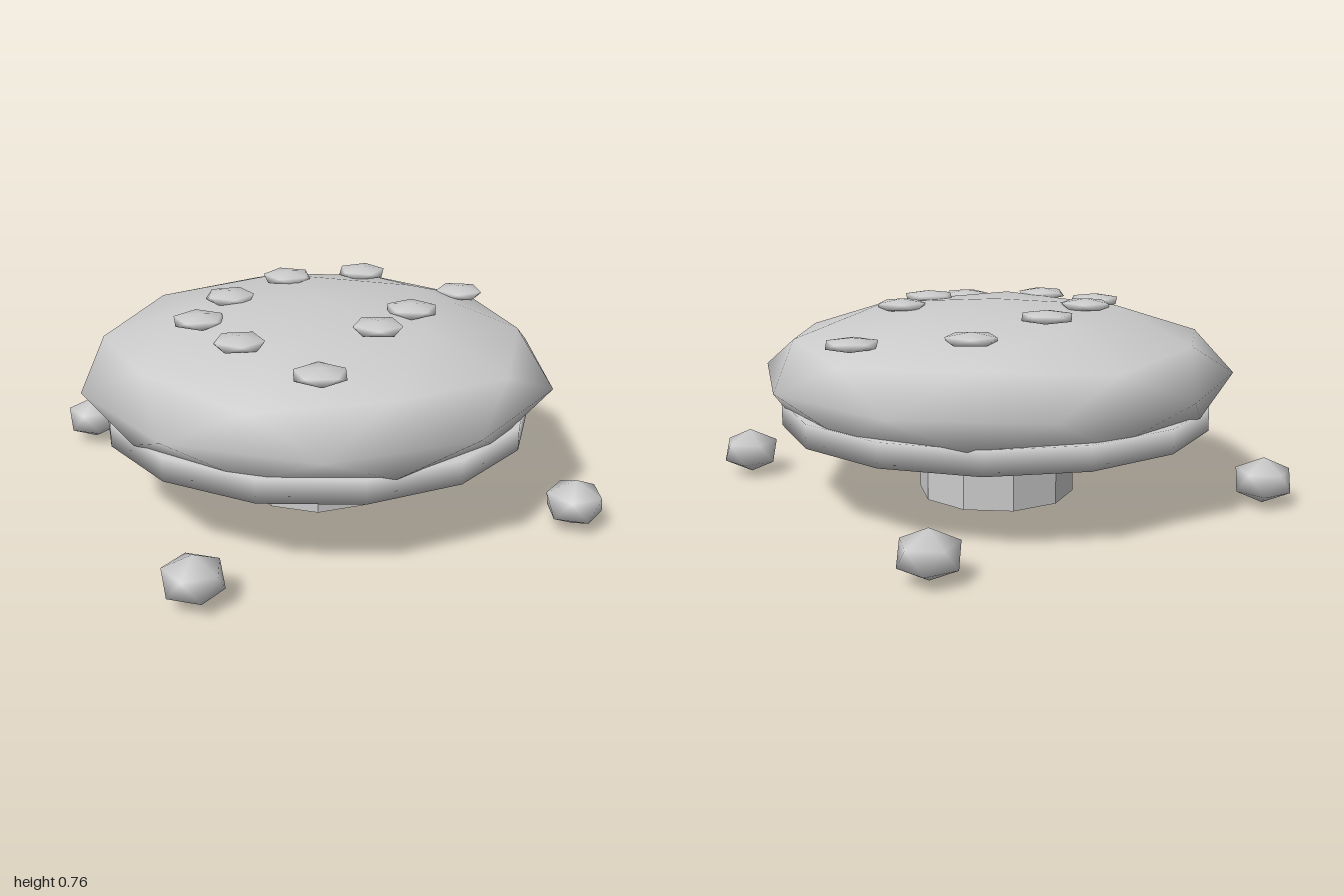
import * as THREE from 'three';
import { mergeVertices } from 'three/addons/utils/BufferGeometryUtils.js';

const material = new THREE.MeshStandardMaterial({ color: 0xcccccc });
const flatMaterial = new THREE.MeshStandardMaterial({ color: 0xcccccc, flatShading: true });

// Weld the corners so the normals run smoothly over every edge
function smooth(geometry) {
  geometry.deleteAttribute('normal');
  geometry.deleteAttribute('uv');
  const welded = mergeVertices(geometry, 1e-4);
  welded.computeVertexNormals();
  return welded;
}

// Flattened icosphere standing on one of its corners
function blob(radius, halfHeight, detail) {
  const g = new THREE.IcosahedronGeometry(1, detail);
  g.rotateZ(-Math.atan(2 / (1 + Math.sqrt(5))));
  g.scale(radius, halfHeight, radius);
  return smooth(g);
}

export function createModel() {
  const model = new THREE.Group();
  const add = (name, geometry, x, y, z, mat = material) => {
    const mesh = new THREE.Mesh(geometry, mat);
    mesh.name = name;
    mesh.position.set(x, y, z);
    model.add(mesh);
    return mesh;
  };

  // Pedestal and rounded top with its surrounding rim
  add('pedestal', new THREE.CylinderGeometry(0.302, 0.302, 0.29, 10), 0, 0.145, 0, flatMaterial);
  add('cushion', blob(0.905, 0.27, 1), 0, 0.485, 0);
  add('rim', smooth(new THREE.CylinderGeometry(0.822, 0.822, 0.09, 14)), 0, 0.337, 0);

  // Flat studs scattered over the top: x, y, z
  const studs = [
    [0.115, 0.735, -0.345], [0.475, 0.7, -0.31], [0.685, 0.664, 0.06],
    [0.24, 0.73, 0.27], [0.01, 0.73, 0.35], [-0.365, 0.68, 0.5],
    [-0.45, 0.712, 0.145], [-0.435, 0.716, -0.14], [-0.215, 0.733, -0.265],
  ];
  const studGeometry = blob(0.105, 0.025, 0);
  studs.forEach(([x, y, z], i) => {
    add('stud', studGeometry, x, y, z).rotation.y = i * 0.7;
  });

  // Four loose pebbles, a quarter turn apart around the pedestal
  const pebbleGeometry = blob(0.117, 0.088, 0);
  for (let i = 0; i < 4; i++) {
    const angle = 0.52 + i * Math.PI / 2;
    add('pebble', pebbleGeometry, 1.028 * Math.cos(angle), 0.097, -1.028 * Math.sin(angle));
  }
  return model;
}
